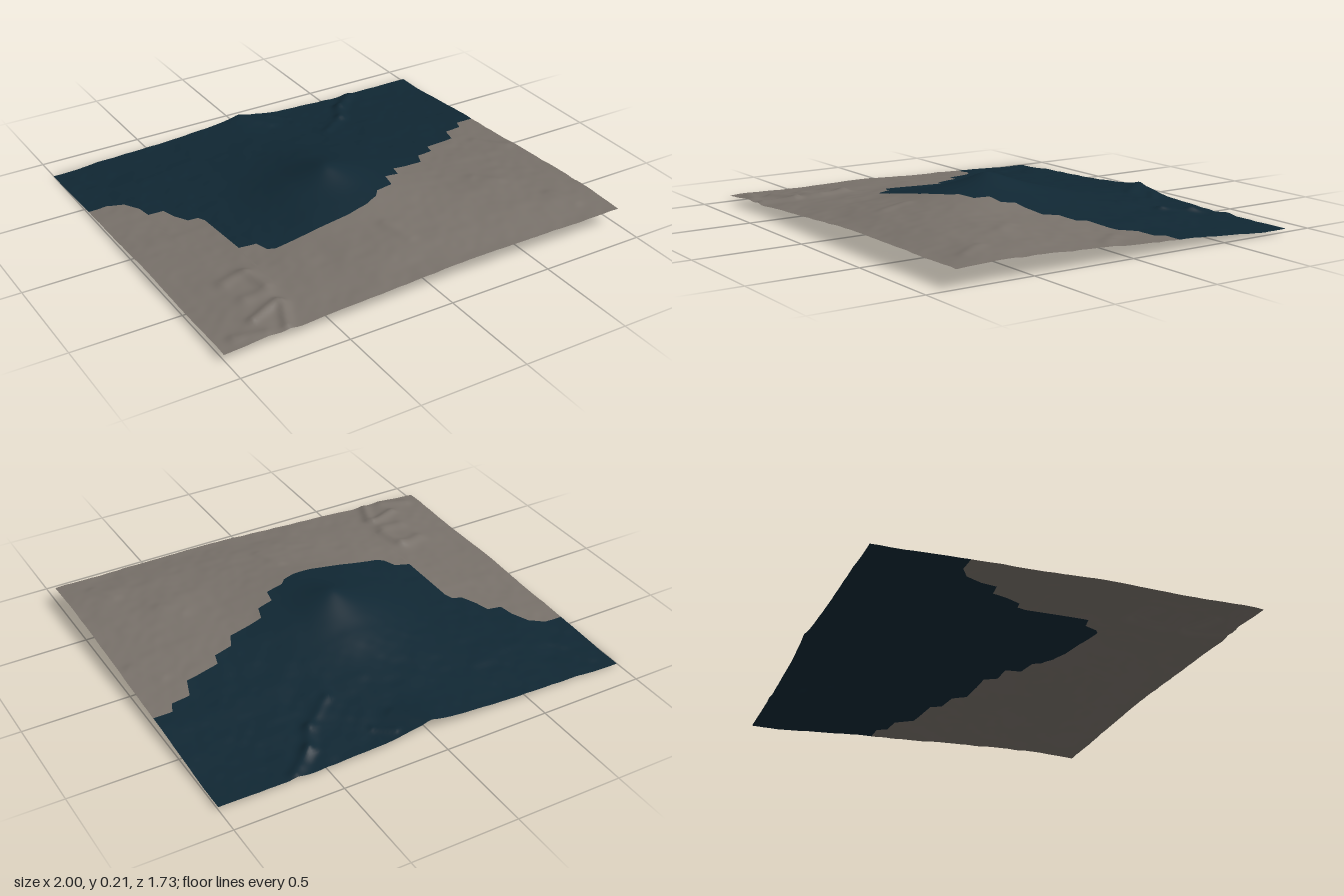
import * as THREE from 'three';

const HALF_X = 1, HALF_Z = 0.865;

// coarse heights in thousandths: rows run back to front, columns left to right
const HEIGHTS = [
  [0, 10, 20, 25, 38, 55, 27, 20, 12, 16, 15],
  [5, 15, 30, 35, 45, 55, 45, 35, 28, 20, 20],
  [15, 25, 40, 50, 65, 75, 70, 55, 45, 40, 35],
  [20, 30, 45, 65, 100, 125, 105, 80, 65, 55, 50],
  [25, 35, 50, 80, 135, 172, 135, 100, 85, 70, 60],
  [30, 40, 55, 80, 125, 153, 143, 115, 100, 85, 70],
  [30, 45, 58, 75, 100, 125, 130, 124, 115, 100, 80],
  [30, 48, 55, 65, 85, 100, 108, 110, 108, 100, 88],
  [30, 40, 45, 55, 65, 75, 80, 80, 80, 80, 83],
];

// stepped border between the two ground covers, as x, z
const BORDER = [
  [-1, -.45], [-.91, -.45], [-.84, -.41], [-.8, -.33], [-.79, -.26], [-.72, -.25],
  [-.7, -.18], [-.665, -.11], [-.62, -.1], [-.605, -.06], [-.595, .24], [-.52, .26],
  [-.5, .32], [-.47, .34], [-.1, .345], [0, .33], [.07, .3], [.1, .265], [.19, .245],
  [.205, .17], [.28, .16], [.3, .095], [.47, .07], [.5, .005], [.59, -.015],
  [.605, -.07], [.77, -.1], [.8, -.19], [.89, -.2], [.91, -.25], [1, -.25],
];

// rocky creases: x1, z1, x2, z2, width, height
const RIDGES = [
  [.0, -.86, .1, -.72, .03, .008], [.15, -.82, .22, -.76, .02, .008],
  [.3, -.5, .45, -.62, .025, .008], [.45, -.62, .52, -.74, .03, .012],
  [.52, -.74, .64, -.84, .03, .014], [-.93, -.78, -.86, -.62, .03, .004],
  [-.78, .45, -.68, .42, .035, .012], [-.66, .44, -.64, .56, .03, .012],
  [-.76, .6, -.66, .6, .035, .01], [-.8, .74, -.66, .68, .025, .014],
  [-.7, .84, -.64, .7, .025, .014], [-.92, .8, -.8, .84, .03, .01],
  [.58, .34, .66, .42, .035, .007], [.85, -.02, .95, .1, .03, .007],
  [.0, .48, .04, .62, .03, .006], [.8, .62, .86, .74, .03, .006],
];

// Catmull-Rom through four values
function cubic(a, b, c, d, t) {
  return b + 0.5 * t * (c - a + t * (2 * a - 5 * b + 4 * c - d + t * (3 * (b - c) + d - a)));
}

function coarse(x, z) {
  const u = (x + HALF_X) / (2 * HALF_X) * 10, v = (z + HALF_Z) / (2 * HALF_Z) * 8;
  const i = THREE.MathUtils.clamp(Math.floor(u), 0, 9);
  const j = THREE.MathUtils.clamp(Math.floor(v), 0, 7);
  const at = (r, c) => HEIGHTS[THREE.MathUtils.clamp(r, 0, 8)][THREE.MathUtils.clamp(c, 0, 10)];
  const row = (r) => cubic(at(r, i - 1), at(r, i), at(r, i + 1), at(r, i + 2), u - i);
  return cubic(row(j - 1), row(j), row(j + 1), row(j + 2), v - j) / 1000;
}

// smooth value noise from a fixed hash
function noise(x, z) {
  const hash = (a, b) => { const s = Math.sin(a * 127.1 + b * 311.7) * 43758.5453; return s - Math.floor(s); };
  const i = Math.floor(x), j = Math.floor(z);
  const ease = (t) => t * t * (3 - 2 * t);
  const u = ease(x - i), v = ease(z - j);
  const mix = THREE.MathUtils.lerp;
  return mix(mix(hash(i, j), hash(i + 1, j), u), mix(hash(i, j + 1), hash(i + 1, j + 1), u), v) - 0.5;
}

function height(x, z) {
  let y = coarse(x, z);
  // summit cone
  const r = Math.hypot(x + .035, z - .03);
  y += 0.035 * Math.exp(-(Math.sqrt(r * r + .0009) - .03) / 0.1);
  // creases
  for (const [x1, z1, x2, z2, w, h] of RIDGES) {
    const dx = x2 - x1, dz = z2 - z1;
    const t = THREE.MathUtils.clamp(((x - x1) * dx + (z - z1) * dz) / (dx * dx + dz * dz), 0, 1);
    const d = Math.hypot(x - x1 - t * dx, z - z1 - t * dz) / w;
    y += h * Math.exp(-d * d);
  }
  // fine roughness, calmer around the summit
  const calm = THREE.MathUtils.smoothstep(r, 0.05, 0.6);
  y += calm * (0.006 * noise(x * 9, z * 9) + 0.003 * noise(x * 22 + 7, z * 22));
  return y;
}

function borderAt(x) {
  let k = 0;
  while (k < BORDER.length - 2 && x > BORDER[k + 1][0]) k++;
  const [x1, z1] = BORDER[k], [x2, z2] = BORDER[k + 1];
  return THREE.MathUtils.lerp(z1, z2, (x - x1) / (x2 - x1));
}

// evenly spaced columns plus every corner of the border
const columns = [...new Set([
  ...Array.from({ length: 151 }, (_, i) => -1 + i / 75),
  ...BORDER.map((p) => p[0]),
])].sort((a, b) => a - b);

// a sheet between two z limits, with normals taken from the height rule
function sheet(back, front, rows, base) {
  const pos = [], nor = [], index = [], e = 0.005;
  for (const x of columns) {
    for (let j = 0; j <= rows; j++) {
      const z = THREE.MathUtils.lerp(back(x), front(x), j / rows);
      pos.push(x, height(x, z) - base, z);
      const n = new THREE.Vector3(
        height(x - e, z) - height(x + e, z), 2 * e, height(x, z - e) - height(x, z + e)).normalize();
      nor.push(n.x, n.y, n.z);
    }
  }
  for (let i = 0; i < columns.length - 1; i++) {
    for (let j = 0; j < rows; j++) {
      const a = i * (rows + 1) + j, b = a + rows + 1;
      index.push(a, a + 1, b, b, a + 1, b + 1);
    }
  }
  const geo = new THREE.BufferGeometry();
  geo.setAttribute('position', new THREE.Float32BufferAttribute(pos, 3));
  geo.setAttribute('normal', new THREE.Float32BufferAttribute(nor, 3));
  geo.setIndex(index);
  return geo;
}

export function createModel() {
  const group = new THREE.Group();
  group.name = 'terrain';

  const navy = new THREE.MeshStandardMaterial({ color: 0x102733, side: THREE.DoubleSide });
  navy.name = 'dark navy';
  const grey = new THREE.MeshStandardMaterial({ color: 0x78716a, side: THREE.DoubleSide });
  grey.name = 'warm grey';

  // lowest point rests on the ground
  let base = Infinity;
  for (const x of columns) {
    for (let j = 0; j <= 60; j++) base = Math.min(base, height(x, -HALF_Z + j / 60 * 2 * HALF_Z));
  }

  const add = (name, geo, mat) => {
    const mesh = new THREE.Mesh(geo, mat);
    mesh.name = name;
    group.add(mesh);
  };
  add('darkMountainside', sheet(() => -HALF_Z, borderAt, 75, base), navy);
  add('greyLowland', sheet(borderAt, () => HALF_Z, 75, base), grey);
  return group;
}
